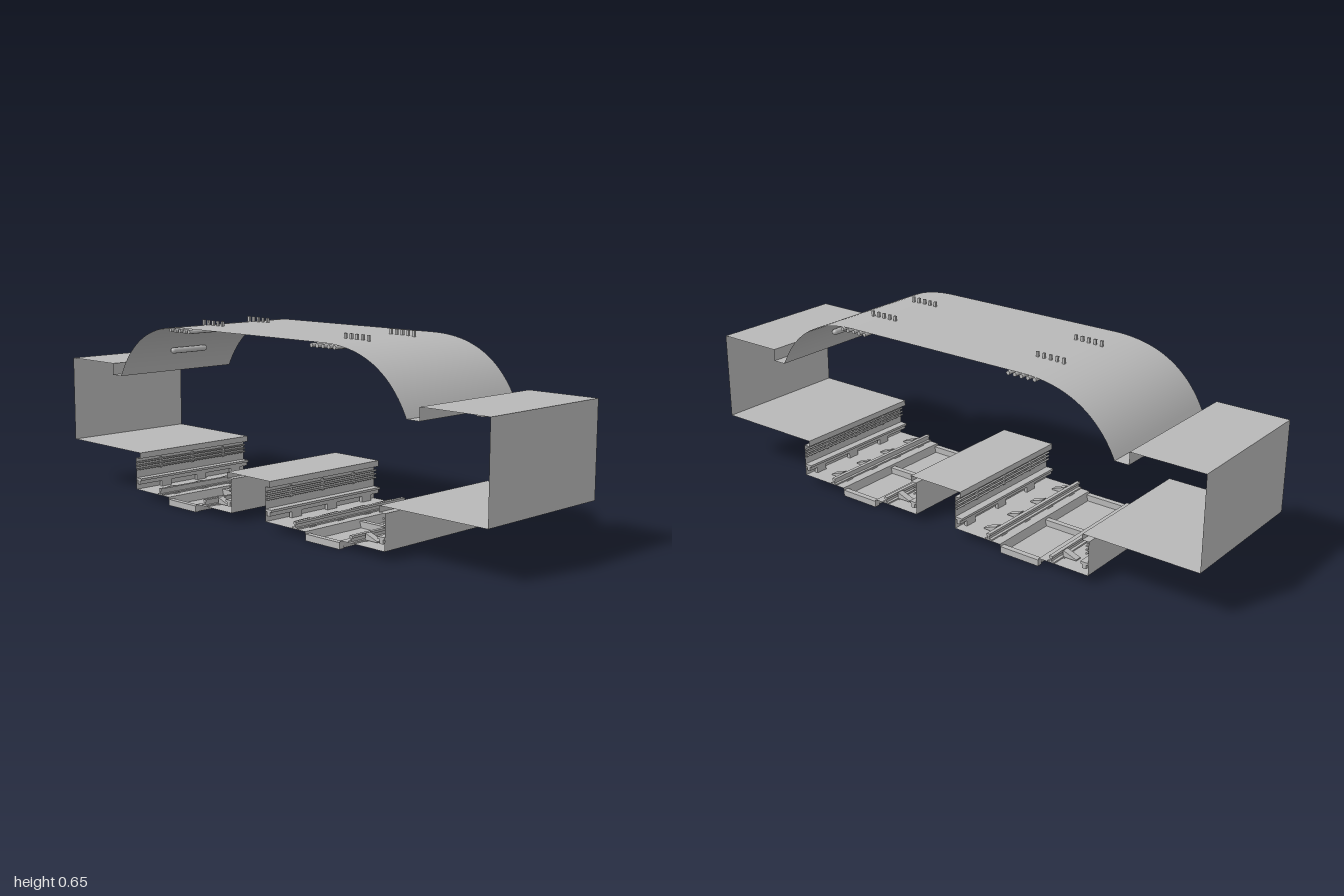
import * as THREE from 'three';

const L = 0.52; // length of the tunnel slice along z

export function createModel() {
  const root = new THREE.Group();
  root.name = 'stationTunnel';
  const grey = new THREE.MeshStandardMaterial({ color: 0xb8b8b8, side: THREE.DoubleSide });
  grey.name = 'concreteGrey';

  const add = (name, geo, parent, x = 0, y = 0, z = 0) => {
    const m = new THREE.Mesh(geo, grey);
    m.name = name;
    m.position.set(x, y, z);
    parent.add(m);
    return m;
  };
  const box = (name, parent, w, h, d, x, y, z = 0) =>
    add(name, new THREE.BoxGeometry(w, h, d), parent, x, y, z);
  const rod = (name, parent, r, len, x, y, z = 0) =>
    add(name, new THREE.CylinderGeometry(r, r, len, 8).rotateX(Math.PI / 2), parent, x, y, z);

  // Thin sheet: a line in the xy plane swept along z
  const sheet = (name, parent, pts, smooth = false) => {
    const pos = [], idx = [];
    pts.forEach(([x, y], i) => {
      pos.push(x, y, L / 2, x, y, -L / 2);
      if (i) {
        const a = 2 * i - 2;
        idx.push(a, a + 2, a + 1, a + 1, a + 2, a + 3);
      }
    });
    let geo = new THREE.BufferGeometry();
    geo.setAttribute('position', new THREE.Float32BufferAttribute(pos, 3));
    geo.setIndex(idx);
    if (!smooth) geo = geo.toNonIndexed();
    geo.computeVertexNormals();
    return add(name, geo, parent);
  };

  // Vaulted ceiling, rising steeply at each side to a flat crown
  const half = new THREE.QuadraticBezierCurve(
    new THREE.Vector2(0.695, 0.44), new THREE.Vector2(0.6, 0.638), new THREE.Vector2(0.35, 0.638)
  ).getPoints(20).map(p => [p.x, p.y]);
  const mirrored = half.map(([x, y]) => [-x, y]);
  sheet('vault', root, [...mirrored, ...half.reverse()], true);

  // Central island platform with overhanging lips
  sheet('islandPlatform', root, [
    [-0.085, 0.03], [-0.085, 0.147], [-0.107, 0.147], [-0.107, 0.168],
    [0.107, 0.168], [0.107, 0.147], [0.085, 0.147], [0.085, 0.03]
  ]);

  for (const s of [-1, 1]) {
    const side = new THREE.Group();
    side.name = s > 0 ? 'leftHalf' : 'rightHalf';
    root.add(side);

    // Stepped soffit, side roof, outer wall, platform and lip
    sheet('sidePlatformShell', side, [
      [0.695, 0.44], [0.745, 0.44], [0.745, 0.482], [1, 0.482], [1, 0.168],
      [0.59, 0.168], [0.59, 0.147], [0.615, 0.147], [0.615, 0.03]
    ].map(([x, y]) => [s * x, y]));

    // Track bed with a central drainage channel
    sheet('trackBed', side, [
      [0.085, 0.03], [0.272, 0.03], [0.28, 0.001], [0.42, 0.001], [0.428, 0.03], [0.615, 0.03]
    ].map(([x, y]) => [s * x, y]));
    for (const z of [-0.25, 0, 0.25]) {
      box('channelStrut', side, 0.15, 0.022, 0.02, s * 0.35, 0.012, z);
    }

    // Running rails with wedge-shaped fasteners on their outer sides
    for (const d of [-1, 1]) {
      const rx = s * 0.35 + d * 0.125;
      box('railFoot', side, 0.026, 0.005, L, rx, 0.033);
      box('railWeb', side, 0.006, 0.014, L, rx, 0.041);
      box('railHead', side, 0.013, 0.008, L, rx, 0.05);
      const wedge = new THREE.Shape();
      wedge.moveTo(0, 0);
      wedge.lineTo(d * 0.05, 0);
      wedge.lineTo(d * 0.05, 0.004);
      wedge.lineTo(0, 0.022);
      wedge.closePath();
      for (let i = 0; i < 4; i++) {
        const z = -0.195 + i * 0.13;
        const geo = new THREE.ExtrudeGeometry(wedge, { depth: 0.024, bevelEnabled: false });
        add('railFastener', geo, side, rx + d * 0.01, 0.033, z - 0.012);
        box('railPad', side, 0.035, 0.006, 0.03, rx, 0.029, z);
      }
    }

    // Covered power rails and wall cables on both sides of each track
    for (const [rx, wx, d] of [[0.6, 0.61, -1], [0.1, 0.09, 1]]) {
      box('powerRailCover', side, 0.028, 0.008, L, s * rx, 0.069);
      box('powerRail', side, 0.014, 0.014, L, s * rx, 0.058);
      for (const z of [-0.2, -0.03, 0.137]) {
        box('powerRailPost', side, 0.012, 0.024, 0.045, s * rx, 0.041, z);
      }
      for (const y of [0.105, 0.118, 0.131]) {
        rod('wallCable', side, 0.0035, L, s * (wx + d * 0.003), y);
      }
      for (const z of [-0.15, 0, 0.15]) {
        box('cableBracket', side, 0.008, 0.04, 0.008, s * wx, 0.118, z);
      }
    }

    // Ceiling tubes, each held by two hangers that pass through the vault
    for (let i = 0; i < 5; i++) {
      const x = s * (0.3 + i * 0.025);
      rod('ceilingTube', side, 0.007, L, x, 0.627);
      for (const z of [-0.105, 0.108]) {
        box('tubeHanger', side, 0.009, 0.024, 0.008, x, 0.643, z);
      }
    }

    // Tilted capsule lamp on the vault flank
    const lamp = add('vaultLamp', new THREE.CapsuleGeometry(0.011, 0.145, 4, 10).rotateX(Math.PI / 2),
      side, s * 0.622, 0.525);
    lamp.rotation.z = s * -0.9;

    // Lamp hanging over the side platform
    box('platformLamp', side, 0.028, 0.012, 0.28, s * 0.87, 0.461);
    for (const z of [-0.09, 0.09]) {
      box('lampStem', side, 0.004, 0.016, 0.004, s * 0.87, 0.474, z);
    }
    box('fasciaStrip', side, 0.005, 0.012, 0.28, s * 0.748, 0.465);
  }
  return root;
}
